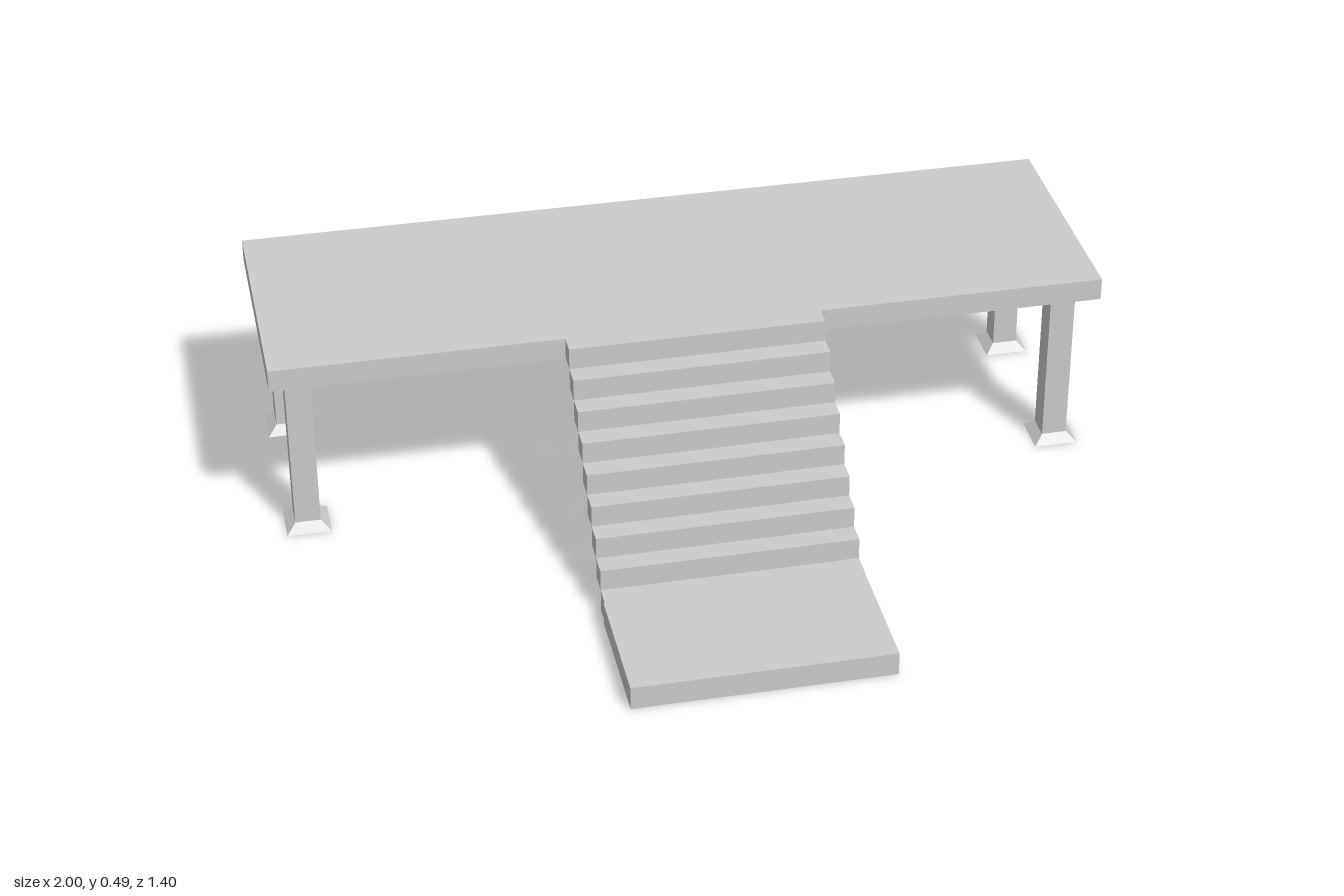
import * as THREE from 'three';

export function createModel() {
  const model = new THREE.Group();
  const concrete = new THREE.MeshStandardMaterial({ color: 0xcccccc, side: THREE.DoubleSide });
  concrete.name = 'concrete grey';

  function add(name, geometry, x, y, z) {
    const mesh = new THREE.Mesh(geometry, concrete);
    mesh.name = name;
    mesh.position.set(x, y, z);
    model.add(mesh);
    return mesh;
  }

  // Box without its underside, like a folded sheet
  function openBox(w, h, d) {
    const box = new THREE.BoxGeometry(w, h, d);
    const index = Array.from(box.index.array);
    index.splice(18, 6); // the -y face
    box.setIndex(index);
    box.clearGroups();
    return box;
  }

  // Open square tube or frustum with its sides along x and z
  function squareTube(topWidth, bottomWidth, height) {
    const tube = new THREE.CylinderGeometry(
      topWidth * Math.SQRT1_2, bottomWidth * Math.SQRT1_2, height, 4, 1, true, Math.PI / 4
    ).toNonIndexed();
    tube.computeVertexNormals();
    return tube;
  }

  // Raised platform
  add('platform', new THREE.BoxGeometry(2, 0.055, 0.612), 0, 0.4595, -0.394);

  // Staircase: nine blocks meeting edge to edge
  const steps = 9, rise = 0.0537, run = 0.052, firstFront = 0.377;
  for (let i = 0; i < steps; i++) {
    const bottom = i === 0 ? 0 : 0.0575 + (i - 1) * rise;
    const top = 0.0575 + i * rise;
    const depth = run - 0.0003;
    add('step' + (i + 1), openBox(0.612, top - bottom, depth),
      0, (bottom + top) / 2, firstFront - (i + 0.5) * run);
  }

  // Landing slab at the foot of the stairs
  add('landing', openBox(0.614, 0.058, 0.324), -0.002, 0.029, 0.538);

  // Four square legs, each on a flared foot
  for (const x of [-0.93, 0.925]) {
    for (const z of [-0.175, -0.611]) {
      add('leg', squareTube(0.061, 0.061, 0.412), x, 0.226, z);
      add('foot', squareTube(0.061, 0.106, 0.021), x, 0.0105, z);
    }
  }

  return model;
}
